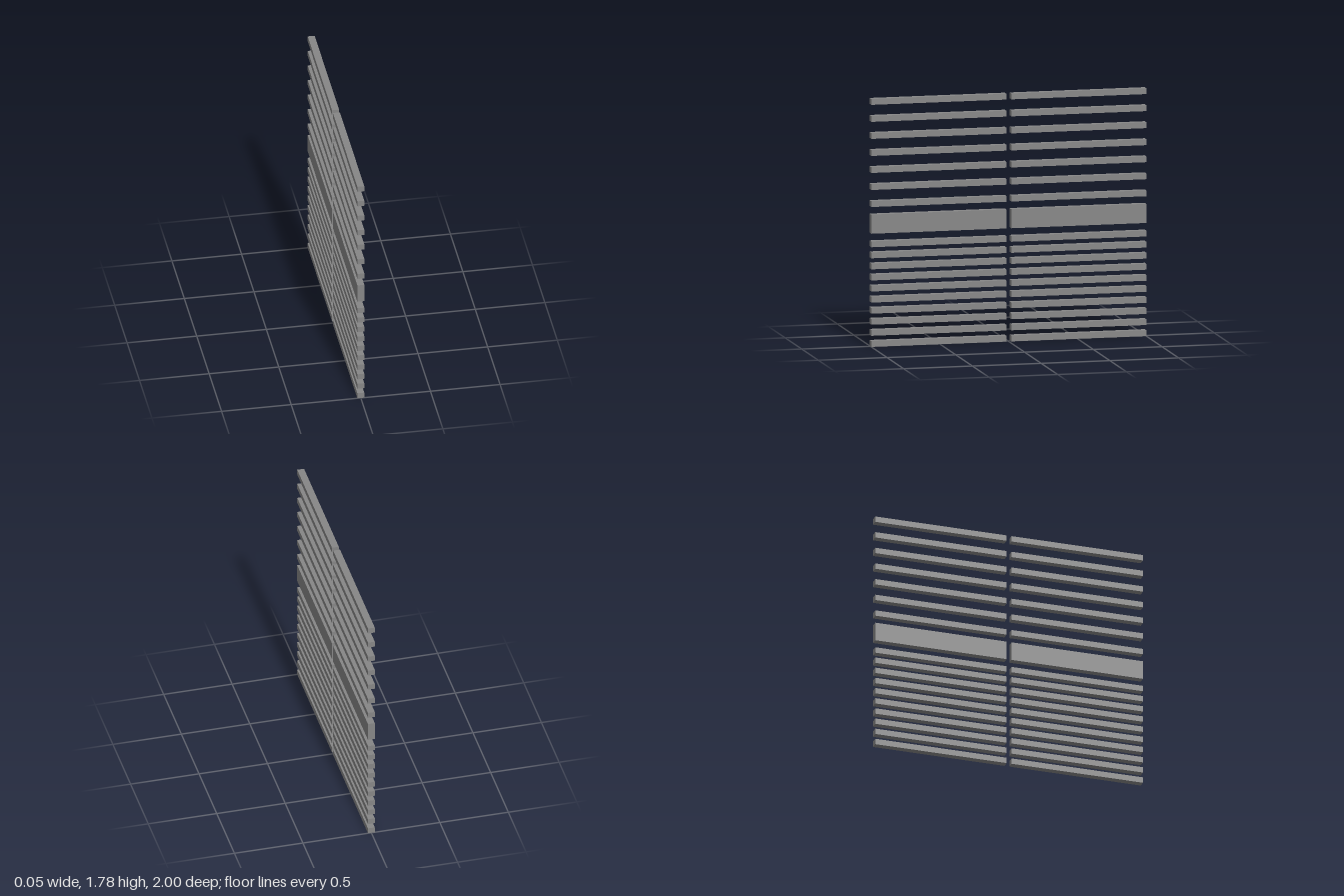
import * as THREE from 'three';

const DEPTH = 0.05;    // thickness along x
const GAP = 0.018;     // half of the gap between the two panels
const SLAT = 0.042;    // slat height

export function createModel() {
  const model = new THREE.Group();
  const material = new THREE.MeshStandardMaterial({ color: 0x868686 });
  const length = 1 - GAP;
  const slatGeometry = new THREE.BoxGeometry(DEPTH, SLAT, length);
  const railGeometry = new THREE.BoxGeometry(DEPTH, 0.137, length);

  for (const side of [1, -1]) {
    const panel = new THREE.Group();
    panel.name = side > 0 ? 'frontPanel' : 'backPanel';
    panel.position.z = side * (GAP + length / 2);

    const add = (name, geometry, y) => {
      const mesh = new THREE.Mesh(geometry, material);
      mesh.name = name;
      mesh.position.y = y;
      panel.add(mesh);
    };

    // closely spaced slats below the wide rail
    for (let i = 0; i < 10; i++) add('lowerSlat', slatGeometry, SLAT / 2 + i * 0.0793);
    // wide middle rail
    add('middleRail', railGeometry, 0.879);
    // widely spaced slats above it
    for (let i = 0; i < 7; i++) add('upperSlat', slatGeometry, 1.023 + i * 0.122);

    model.add(panel);
  }
  return model;
}
